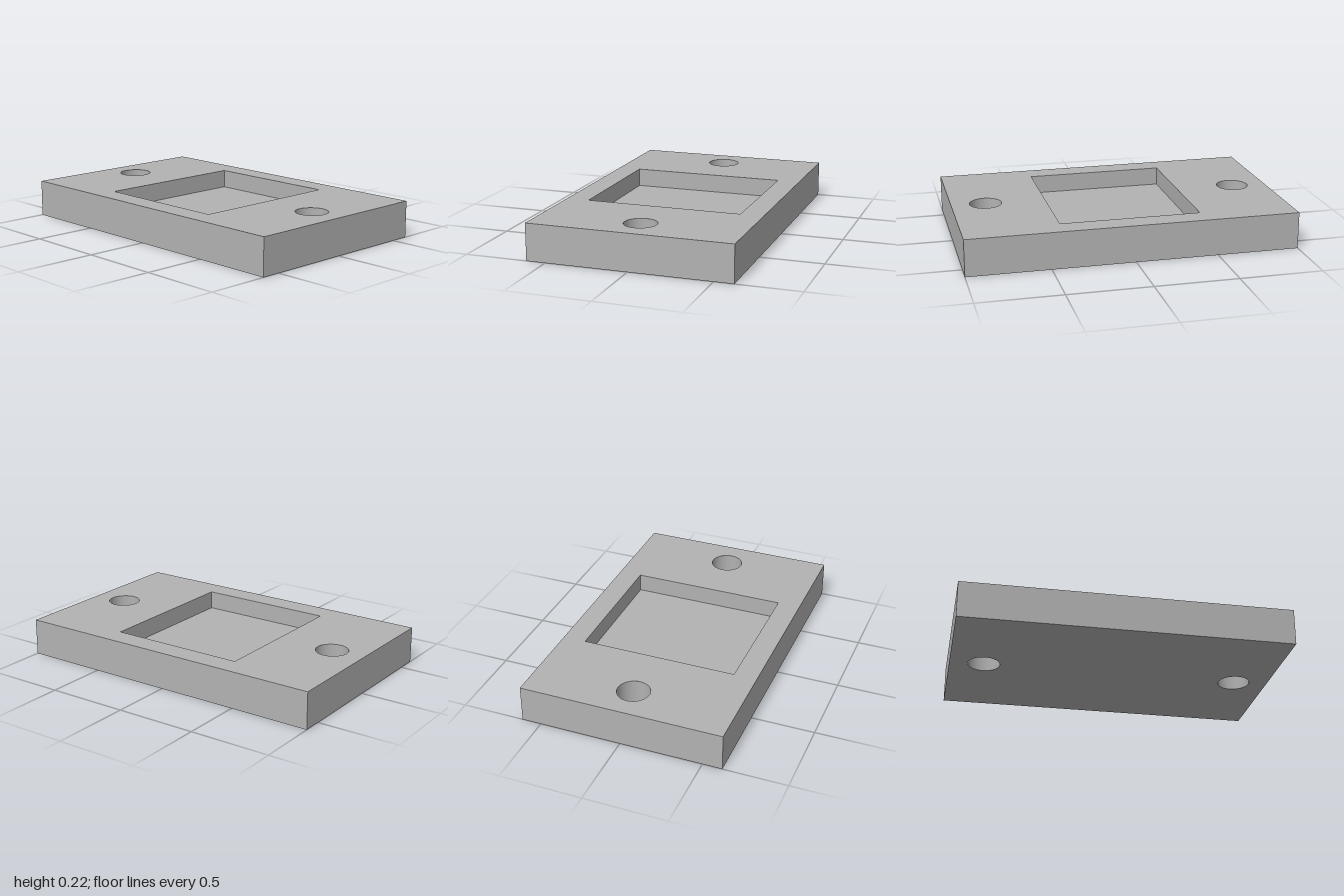
import * as THREE from 'three';

const W = 2, D = 1.236, H = 0.225;             // plate
const PW = 0.85, PD = 0.956, PH = 0.1125;      // pocket
const HOLE_X = 0.79, HOLE_R = 0.098, SEG = 48; // bolt holes

function rectPoints(w, d) {
  return [[-1, -1], [1, -1], [1, 1], [-1, 1]].map(([x, y]) => new THREE.Vector2(x * w / 2, y * d / 2));
}

// Flat face of the plate with the bolt holes and any extra cut-outs
function faceGeometry(cutouts = []) {
  const shape = new THREE.Shape(rectPoints(W, D));
  for (const x of [-HOLE_X, HOLE_X]) {
    shape.holes.push(new THREE.Path().absarc(x, 0, HOLE_R, 0, Math.PI * 2, true));
  }
  shape.holes.push(...cutouts);
  return new THREE.ShapeGeometry(shape, SEG);
}

// Box without the listed sides (order: +x, -x, +y, -y, +z, -z)
function openBox(w, h, d, removed) {
  const geo = new THREE.BoxGeometry(w, h, d);
  const index = Array.from(geo.index.array).filter((_, i) => !removed.includes(Math.floor(i / 6)));
  geo.setIndex(index);
  geo.clearGroups();
  return geo;
}

// Turn a closed surface inside out by mirroring it
function inward(geo) {
  geo.scale(-1, 1, 1);
  geo.computeVertexNormals();
  return geo;
}

export function createModel() {
  const group = new THREE.Group();
  group.name = 'mountingPlate';
  const grey = new THREE.MeshStandardMaterial({ color: 0xb2b2b2 });
  grey.name = 'grey';

  const add = (name, geo, x = 0, y = 0) => {
    const mesh = new THREE.Mesh(geo, grey);
    mesh.name = name;
    mesh.position.set(x, y, 0);
    group.add(mesh);
  };

  // Outer plate
  add('plateSides', openBox(W, H, D, [2, 3]), 0, H / 2);
  add('plateTop', faceGeometry([new THREE.Path(rectPoints(PW, PD))]).rotateX(-Math.PI / 2), 0, H);
  add('plateBottom', faceGeometry().rotateX(Math.PI / 2));

  // Rectangular pocket, walls and floor
  add('pocket', inward(openBox(PW, PH, PD, [2])), 0, H - PH / 2);

  // Through holes on both sides
  for (const [name, x] of [['rightHole', -HOLE_X], ['leftHole', HOLE_X]]) {
    add(name, inward(new THREE.CylinderGeometry(HOLE_R, HOLE_R, H, SEG, 1, true)), x, H / 2);
  }
  return group;
}
